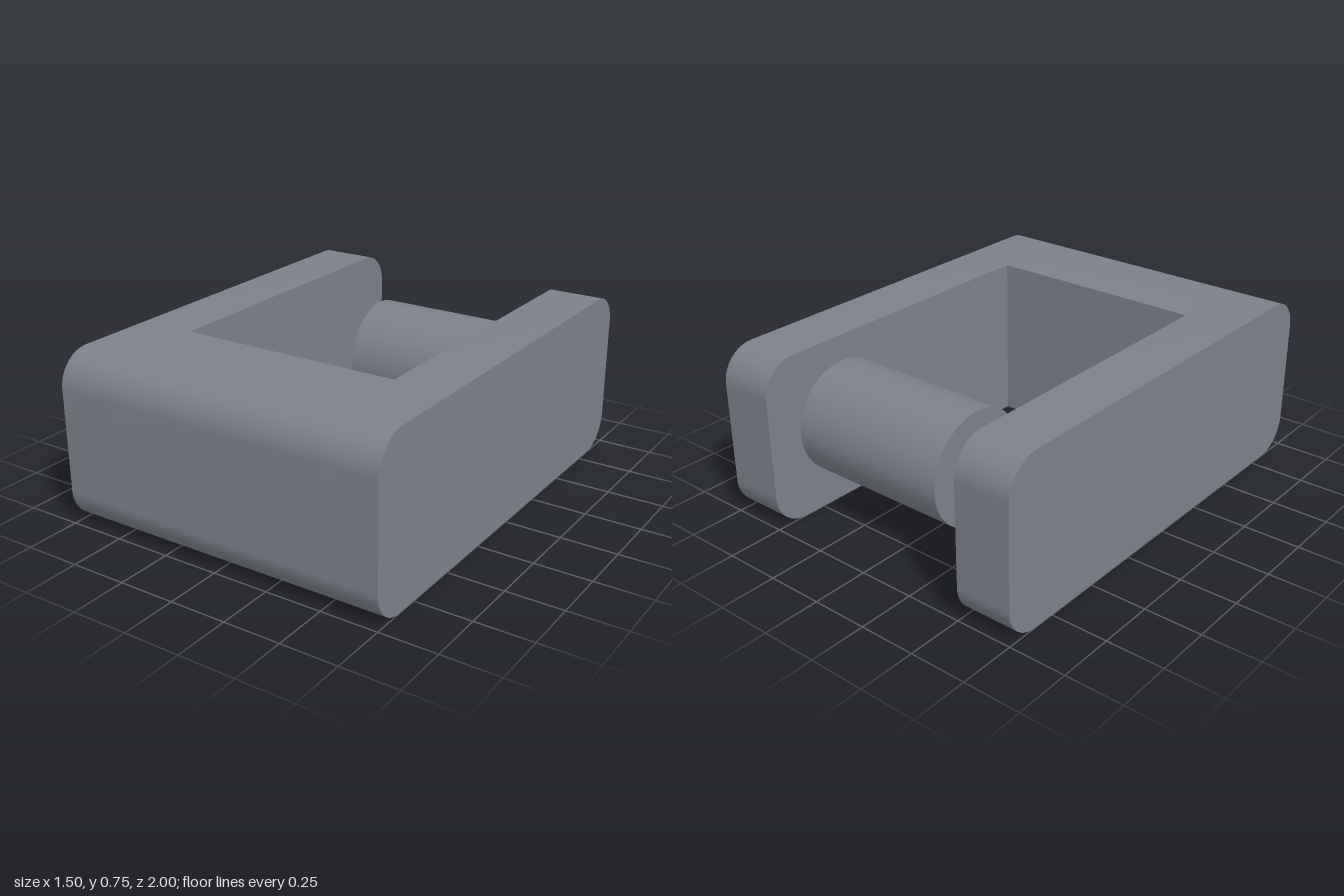
import * as THREE from 'three';
import { toCreasedNormals } from 'three/addons/utils/BufferGeometryUtils.js';

const HEIGHT = 0.75, RADIUS = 0.15;

// Side profile in (z, y): rounded front corners, back corners rounded by backRadius
function sideProfile(back, front, backRadius) {
  const s = new THREE.Shape();
  const r = RADIUS, b = backRadius;
  s.moveTo(back + b, 0);
  s.lineTo(front - r, 0);
  s.absarc(front - r, r, r, -Math.PI / 2, 0);
  s.absarc(front - r, HEIGHT - r, r, 0, Math.PI / 2);
  s.lineTo(back + b, HEIGHT);
  if (b > 0) {
    s.absarc(back + b, HEIGHT - b, b, Math.PI / 2, Math.PI);
    s.absarc(back + b, b, b, Math.PI, Math.PI * 1.5);
  } else {
    s.lineTo(back, 0);
  }
  return s;
}

// Extrude a side profile across x, centred on the given x
function slab(name, profile, width, x, material) {
  const g = new THREE.ExtrudeGeometry(profile, { depth: width, bevelEnabled: false, curveSegments: 16 });
  g.translate(0, 0, -width / 2);
  g.rotateY(-Math.PI / 2);
  const mesh = new THREE.Mesh(toCreasedNormals(g, Math.PI / 6), material);
  mesh.name = name;
  mesh.position.x = x;
  return mesh;
}

export function createModel() {
  const model = new THREE.Group();
  model.name = 'clevisBracket';
  const material = new THREE.MeshStandardMaterial({ color: 0x7c818a });

  // Two full-length arms
  for (const side of [-1, 1]) {
    const name = side > 0 ? 'leftArm' : 'rightArm';
    model.add(slab(name, sideProfile(-1, 1, RADIUS), 0.25, side * 0.625, material));
  }

  // Thick front block joining the arms
  model.add(slab('frontBridge', sideProfile(0.5, 1, 0), 1, 0, material));

  // Pin standing out from the inside of the left arm, short of the right one
  const pin = new THREE.Mesh(new THREE.CylinderGeometry(0.25, 0.25, 0.75, 64), material);
  pin.name = 'pin';
  pin.rotation.z = Math.PI / 2;
  pin.position.set(0.125, 0.385, -0.59);
  model.add(pin);

  return model;
}
